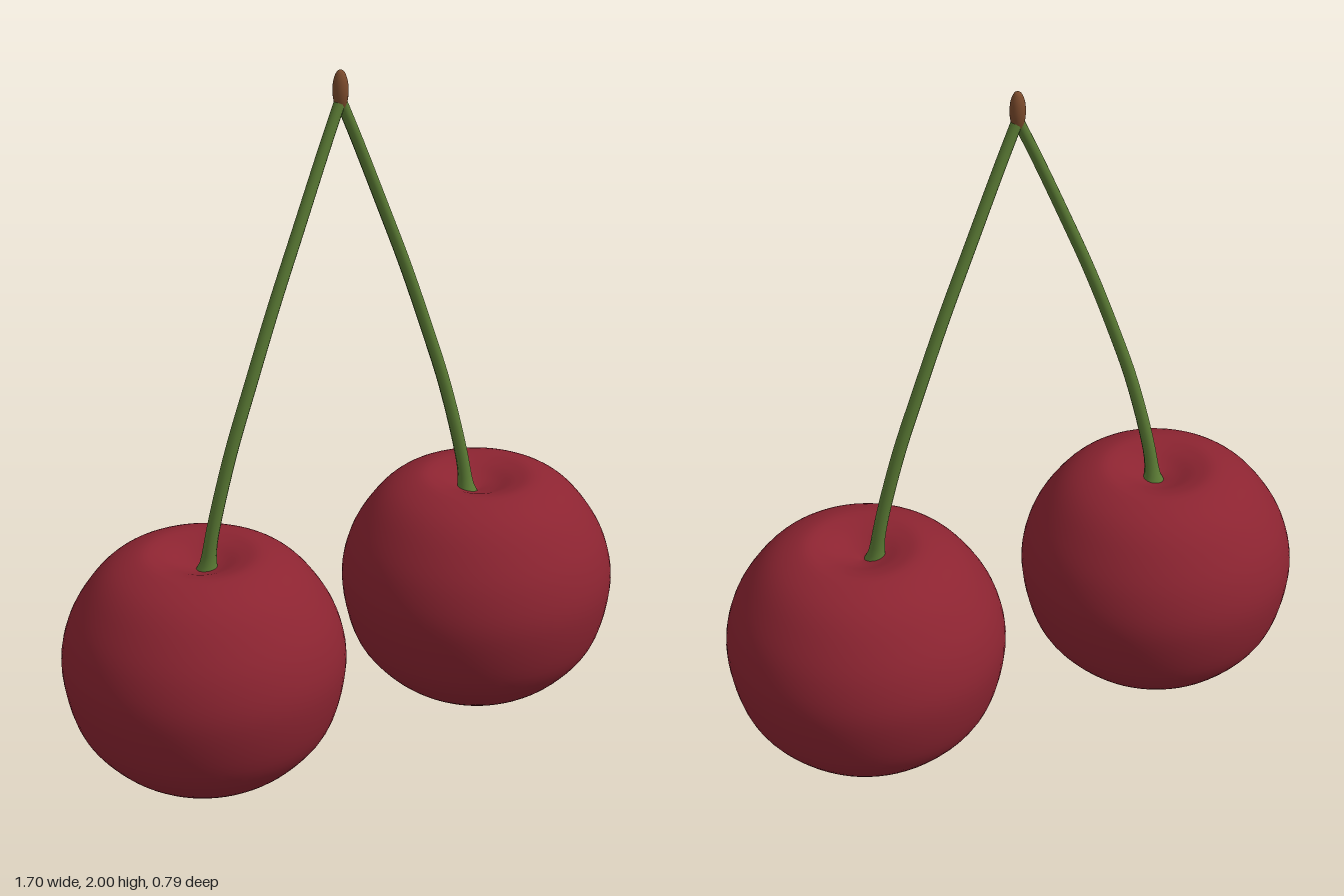
import * as THREE from 'three';

const mat = (name, color) => Object.assign(new THREE.MeshStandardMaterial({ color }), { name });

export function createModel() {
  const skin = mat('cherryRed', 0x8c2431);
  const green = mat('stemGreen', 0x5a7a34);
  const brown = mat('woodBrown', 0x7a4a2c);
  const group = new THREE.Group();
  const add = (parent, name, geo, material) => {
    const mesh = new THREE.Mesh(geo, material);
    mesh.name = name;
    parent.add(mesh);
    return mesh;
  };

  // Fruit profile, bottom pole to the bottom of the stem dimple
  const profile = new THREE.SplineCurve([
    [0, 0.005], [0.1, 0.017], [0.2, 0.056], [0.29, 0.124], [0.36, 0.223], [0.393, 0.38],
    [0.372, 0.504], [0.315, 0.606], [0.25, 0.673], [0.17, 0.708], [0.11, 0.7],
    [0.055, 0.677], [0, 0.66],
  ].map(([r, y]) => new THREE.Vector2(r, y))).getPoints(56);
  profile.forEach((p) => { p.x = Math.max(p.x, 0); });
  const fruitGeo = new THREE.LatheGeometry(profile, 64);

  // Curved stem, thinner in the middle and flared where it meets the fruit
  const path = new THREE.CatmullRomCurve3([
    [-0.434, 0.655, 0.008], [-0.424, 0.76, 0.018], [-0.37, 1.0, 0.034], [-0.305, 1.2, 0.04],
    [-0.23, 1.4, 0.036], [-0.145, 1.6, 0.026], [-0.056, 1.8, 0.011], [-0.004, 1.91, 0.001],
  ].map((p) => new THREE.Vector3(...p)));
  const segments = 48, sides = 12;
  const stemGeo = new THREE.TubeGeometry(path, segments, 1, sides);
  const pos = stemGeo.attributes.position;
  const v = new THREE.Vector3();
  for (let i = 0; i < pos.count; i++) {
    const t = Math.floor(i / (sides + 1)) / segments;
    const centre = path.getPointAt(t);
    const radius = 0.0185 - 0.003 * t + 0.015 * Math.exp(-t * 50);
    v.fromBufferAttribute(pos, i).sub(centre).multiplyScalar(radius).add(centre);
    pos.setXYZ(i, v.x, v.y, v.z);
  }
  stemGeo.computeVertexNormals();

  // Two fruits, and two stems that are half-turn copies of each other
  for (const [side, s] of [['right', -1], ['left', 1]]) {
    const fruit = add(group, side + 'Cherry', fruitGeo, skin);
    fruit.position.x = s * 0.457;
    const stem = add(group, side + 'Stem', stemGeo, green);
    stem.position.x = -0.011;
    stem.rotation.y = s > 0 ? Math.PI : 0;
  }

  // Woody bud where the stems join
  const bud = new THREE.SplineCurve([
    [0, 1.885], [0.014, 1.9], [0.021, 1.935], [0.019, 1.97], [0.01, 1.994], [0, 2],
  ].map(([r, y]) => new THREE.Vector2(r, y))).getPoints(20);
  bud.forEach((p) => { p.x = Math.max(p.x, 0); });
  add(group, 'stemBud', new THREE.LatheGeometry(bud, 20), brown).position.x = -0.011;

  return group;
}
